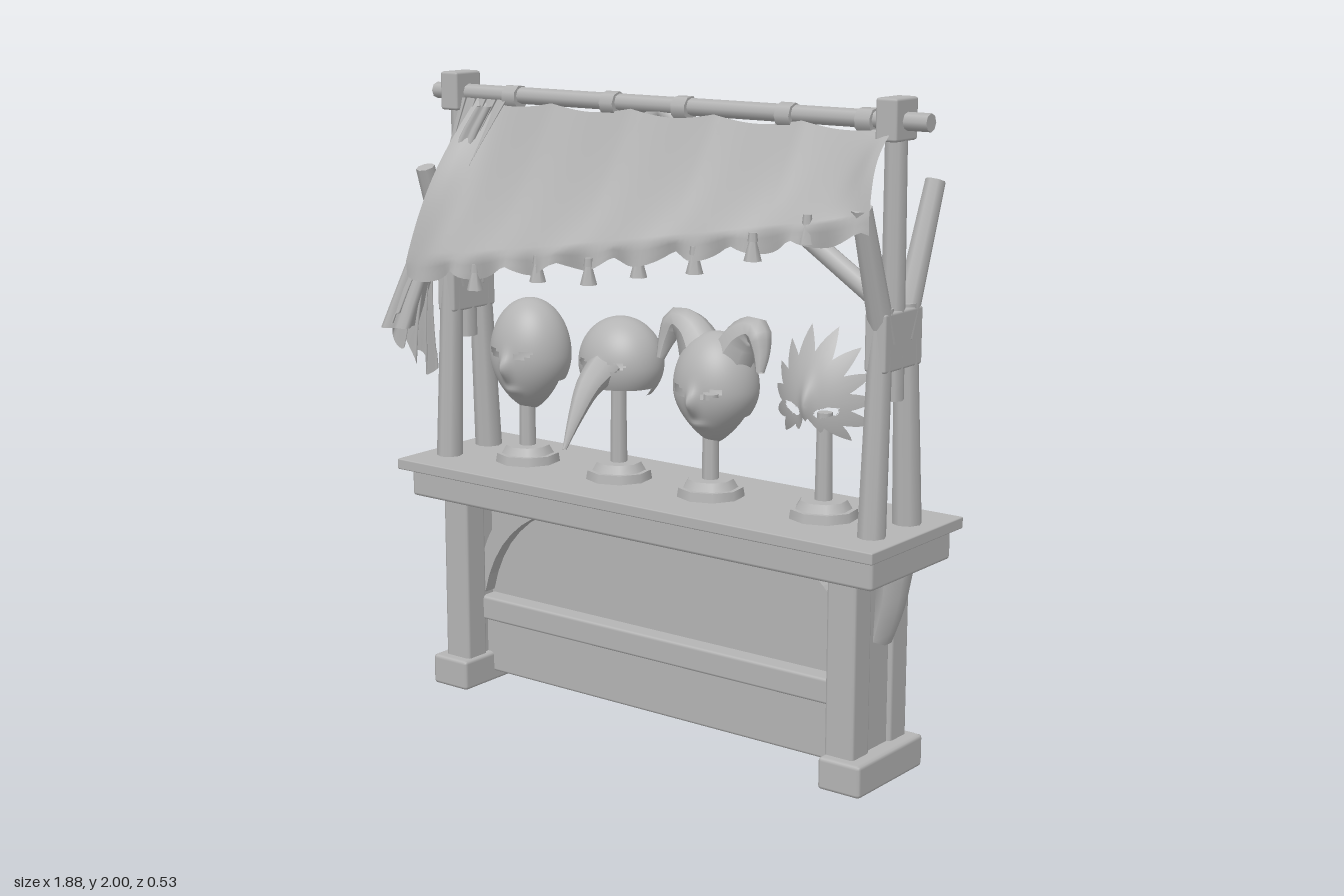
import * as THREE from 'three';
import { mergeVertices } from 'three/addons/utils/BufferGeometryUtils.js';
import { RoundedBoxGeometry } from 'three/addons/geometries/RoundedBoxGeometry.js';

const grey = new THREE.MeshStandardMaterial({ color: 0xb4b4b4, side: THREE.DoubleSide });
grey.name = 'plain grey';

const lerp = THREE.MathUtils.lerp;

function mesh(parent, name, geometry) {
  const m = new THREE.Mesh(geometry, grey);
  m.name = name;
  parent.add(m);
  return m;
}

// Slightly chamfered timber block
function block(parent, name, w, h, d, x, y, z) {
  const r = Math.min(w, h, d) * 0.12;
  const m = mesh(parent, name, new RoundedBoxGeometry(w, h, d, 1, r));
  m.position.set(x, y, z);
  return m;
}

// Straight round beam between two points
function beam(parent, name, a, b, ra, rb = ra, sides = 8) {
  const p = new THREE.Vector3(...a), q = new THREE.Vector3(...b);
  const m = mesh(parent, name, new THREE.CylinderGeometry(rb, ra, p.distanceTo(q), sides));
  m.position.copy(p).lerp(q, 0.5);
  m.quaternion.setFromUnitVectors(new THREE.Vector3(0, 1, 0), q.sub(p).normalize());
  return m;
}

// Curved tapering limb
function limb(parent, name, points, ra, rb, steps = 12, sides = 8) {
  const curve = new THREE.CatmullRomCurve3(points.map(p => new THREE.Vector3(...p)));
  const g = new THREE.TubeGeometry(curve, steps, 1, sides);
  const pos = g.attributes.position, v = new THREE.Vector3();
  for (let i = 0; i < pos.count; i++) {
    const t = Math.floor(i / (sides + 1)) / steps;
    const c = curve.getPointAt(t);
    v.fromBufferAttribute(pos, i).sub(c).multiplyScalar(lerp(ra, rb, t)).add(c);
    pos.setXYZ(i, v.x, v.y, v.z);
  }
  g.computeVertexNormals();
  return mesh(parent, name, g);
}

// Surface swept by a rule over a grid; cells refused by keep() become holes
function sheet(parent, name, rule, nu, nv, keep = () => true) {
  const pos = [], index = [];
  for (let j = 0; j <= nv; j++)
    for (let i = 0; i <= nu; i++) pos.push(...rule(i / nu, j / nv));
  for (let j = 0; j < nv; j++)
    for (let i = 0; i < nu; i++) {
      const [x, y, z] = rule((i + 0.5) / nu, (j + 0.5) / nv);
      if (!keep(x, y, z)) continue;
      const a = j * (nu + 1) + i, b = a + nu + 1;
      index.push(a, b, a + 1, b, b + 1, a + 1);
    }
  let g = new THREE.BufferGeometry();
  g.setAttribute('position', new THREE.Float32BufferAttribute(pos, 3));
  g.setIndex(index);
  g = mergeVertices(g, 1e-4);
  g.computeVertexNormals();
  return mesh(parent, name, g);
}

// Almond eye openings, slanting up and outwards
function inEye(dx, dy, w, h) {
  const ex = Math.abs(dx) - 0.058;
  return (ex / w) ** 2 + ((dy - ex * 0.25) / h) ** 2 < 1;
}

// Hollow head-shaped mask: rounded crown, tapering chin, open lower back
function headMask(parent, name, { x, y, rx, ry, taper, eyeY, frontCut = -9, backCut }) {
  const zc = -0.045, rz = 0.122;
  const rule = (u, v) => {
    const a = (u - 0.5) * 2 * Math.PI, b = v * Math.PI;
    const dy = Math.cos(b), s = Math.sin(b);
    const k = dy < 0 ? 1 - taper * dy * dy : 1;
    const dx = s * Math.sin(a) * k, dz = s * Math.cos(a) * (0.6 + 0.4 * k);
    const bump = dz > 0 ? 0.03 * Math.exp(-((dx / 0.13) ** 2) - ((dy + 0.18) / 0.22) ** 2) : 0;
    const lips = dz > 0 ? 0.012 * Math.exp(-((dx / 0.2) ** 2) - ((dy + 0.6) / 0.08) ** 2) : 0;
    return [x + dx * rx, y + dy * ry, zc + dz * rz + bump + lips];
  };
  sheet(parent, name, rule, 88, 64, (px, py, pz) =>
    !(pz > 0 && inEye(px - x, py - eyeY, 0.032, 0.012)) && py > (pz > zc ? frontCut : backCut));
}

// Flat curved brace in the corner under the counter
function archBrace(parent, x, dir) {
  const s = new THREE.Shape();
  s.moveTo(x, 0.31);
  s.quadraticCurveTo(x + dir * 0.06, 0.57, x + dir * 0.34, 0.645);
  s.lineTo(x + dir * 0.2, 0.645);
  s.quadraticCurveTo(x + dir * 0.05, 0.6, x, 0.46);
  const g = new THREE.ExtrudeGeometry(s, { depth: 0.12, bevelEnabled: false, curveSegments: 8 });
  mesh(parent, 'archBrace', g).position.z = -0.09;
}

function buildCounter(root) {
  const g = new THREE.Group();
  g.name = 'counter';
  root.add(g);
  block(g, 'counterTop', 1.81, 0.035, 0.495, 0.02, 0.75, -0.027);
  block(g, 'counterApron', 1.76, 0.095, 0.43, 0.02, 0.688, -0.035);
  block(g, 'backBoard', 1.42, 0.36, 0.03, 0.015, 0.47, -0.03);
  block(g, 'lowerBoard', 1.44, 0.19, 0.08, 0.015, 0.13, -0.028);
  block(g, 'shelfRail', 1.42, 0.08, 0.14, 0.015, 0.26, -0.025);
  for (const s of [-1, 1]) {
    const x = 0.015 + s * 0.745;
    block(g, 'foot', 0.145, 0.1, 0.35, 0.02 + s * 0.76, 0.052, -0.025);
    for (const z of [0.075, -0.128]) block(g, 'leg', 0.1, 0.57, 0.09, x, 0.37, z);
    block(g, 'legCore', 0.075, 0.57, 0.12, x, 0.37, -0.028);
    // Outer bracket under the overhang
    limb(g, 'outerBracket', [[x + s * 0.04, 0.43, -0.03], [x + s * 0.07, 0.54, -0.03], [x + s * 0.085, 0.66, -0.03]], 0.035, 0.055, 6, 6);
    archBrace(g, x - s * 0.045, -s);
  }
}

function buildFrame(root) {
  const g = new THREE.Group();
  g.name = 'frame';
  root.add(g);
  beam(g, 'ridgePole', [-0.89, 1.935, -0.01], [0.94, 1.935, -0.01], 0.026);
  for (const x of [-0.56, -0.17, 0.1, 0.47, 0.74]) {
    const ring = beam(g, 'poleTie', [x - 0.025, 1.93, -0.008], [x + 0.025, 1.93, -0.008], 0.037);
    ring.rotateY(x * 5);
  }
  for (const s of [-1, 1]) {
    const x = 0.02 + s * 0.81;
    beam(g, 'tallPost', [x, 1.15, -0.015], [x, 1.97, -0.01], 0.036, 0.032);
    block(g, 'postCap', 0.07, 0.12, 0.115, x, 1.94, -0.01);
    block(g, 'postJoint', 0.07, 0.17, 0.2, x, 1.325, -0.02);
    beam(g, 'frontLeg', [x, 0.76, 0.075], [x, 1.42, 0.045], 0.042, 0.034);
    beam(g, 'rearLeg', [x, 0.76, -0.115], [x, 1.42, -0.08], 0.044, 0.034);
    beam(g, 'frontFork', [x, 1.32, 0.03], [x, 1.71, 0.16], 0.038, 0.03);
    beam(g, 'rearFork', [x, 1.32, -0.06], [x, 1.75, -0.225], 0.038, 0.03);
    beam(g, 'ridgeBrace', [x, 1.39, -0.03], [0.01, 1.92, -0.02], 0.032, 0.028);
  }
}

function buildAwning(root) {
  const g = new THREE.Group();
  g.name = 'awning';
  root.add(g);
  const edgeY = u => lerp(1.42, 1.69, u ** 1.1);
  const edgeZ = u => lerp(0.23, 0.195, u);
  // Sloping cloth, lifted by the forks at its ends, with a hanging scalloped hem
  sheet(g, 'awningCloth', (u, v) => {
    const t = Math.min(v / 0.86, 1), hem = Math.max(0, (v - 0.86) / 0.14);
    const sag = Math.abs(Math.sin(u * Math.PI * 5)), bow = Math.sin(t * Math.PI);
    const lift = Math.exp(-((u / 0.05) ** 2)) + Math.exp(-(((1 - u) / 0.05) ** 2));
    const fold = 0.012 * Math.sin(u * 34 + v * 3) * t;
    return [
      lerp(lerp(-0.7, 0.84, u), lerp(-0.81, 0.87, u), t),
      lerp(1.92 - 0.018 * sag, edgeY(u), t) + (0.05 * lift - 0.03) * bow
        - hem * (0.035 + 0.035 * Math.abs(Math.sin(u * Math.PI * 8 + 0.4))),
      lerp(0.015, edgeZ(u), t) + 0.03 * lift * bow + fold + hem * 0.012 * Math.sin(u * 60),
    ];
  }, 80, 22);
  // Gathered cloth slung over the end of the stall
  sheet(g, 'gatheredDrape', (u, v) => {
    const pleat = Math.sin(u * Math.PI * 9) * (0.01 + 0.022 * v);
    const bulge = Math.sin(v * Math.PI);
    const hem = v > 0.9 ? 0.03 * Math.sin(u * 21) : 0;
    return [
      lerp(lerp(-0.57, -0.76, u), lerp(-0.9, -0.84, u), v) - 0.03 * bulge + pleat,
      lerp(1.92, lerp(1.2, 1.02, u), v) - 0.06 * bulge * (1 - u) + hem,
      lerp(0.02, lerp(0.235, 0.07, u), v) + 0.045 * bulge + pleat * 0.6,
    ];
  }, 54, 18);
  // Thick rolled fold at the front of the drape
  sheet(g, 'drapeFold', (u, v) => {
    const a = u * Math.PI * 2, r = lerp(0.025, 0.05, v) * (1 + 0.25 * Math.sin(a * 4));
    return [lerp(-0.64, -0.88, v ** 0.8) + r * Math.cos(a), lerp(1.9, 1.2, v), lerp(0.04, 0.2, v) + r * Math.sin(a)];
  }, 24, 10);
  // Tassels along the hem
  for (const [x, y] of [[-0.53, 1.39], [-0.28, 1.44], [-0.085, 1.45], [0.1, 1.49], [0.3, 1.52], [0.5, 1.575], [0.68, 1.64]]) {
    const z = edgeZ((x + 0.81) / 1.68);
    beam(g, 'tassel', [x, y - 0.035, z], [x, y + 0.025, z], 0.026, 0.01, 6);
    beam(g, 'tasselKnot', [x, y + 0.02, z], [x, y + 0.045, z], 0.015, 0.012, 6);
  }
}

function buildMasks(root) {
  const g = new THREE.Group();
  g.name = 'masksOnStands';
  root.add(g);
  for (const [x, top] of [[-0.54, 1.08], [-0.165, 1.1], [0.19, 1.08], [0.6, 1.08]]) {
    beam(g, 'standBase', [x, 0.765, -0.025], [x, 0.795, -0.025], 0.105, 0.1, 9);
    beam(g, 'standStep', [x, 0.795, -0.025], [x, 0.82, -0.025], 0.085, 0.07, 9);
    beam(g, 'standPole', [x, 0.8, -0.025], [x, top, -0.025], 0.027, 0.023);
  }
  headMask(g, 'fullFaceMask', { x: -0.54, y: 1.115, rx: 0.136, ry: 0.18, taper: 0.35, eyeY: 1.13, backCut: 1.04 });
  // Beaked half mask
  headMask(g, 'beakedMask', { x: -0.17, y: 1.13, rx: 0.14, ry: 0.145, taper: 0.2, eyeY: 1.135, frontCut: 1.06, backCut: 1.04 });
  limb(g, 'beak', [[-0.17, 1.13, 0.035], [-0.167, 1.08, 0.12], [-0.16, 1.0, 0.19], [-0.155, 0.91, 0.25]], 0.055, 0.006);
  // Horned hood mask
  headMask(g, 'hornedMask', { x: 0.195, y: 1.1, rx: 0.135, ry: 0.17, taper: 0.5, eyeY: 1.1, backCut: 1.02 });
  for (const s of [-1, 1])
    limb(g, 'hoodHorn', [[0.195 + s * 0.04, 1.17, -0.05], [0.195 + s * 0.1, 1.265, -0.05], [0.195 + s * 0.148, 1.285, -0.045], [0.195 + s * 0.175, 1.23, -0.03], [0.195 + s * 0.185, 1.17, -0.01]], 0.08, 0.013, 16);
  // Leaf mask with a pointed outline, curved around the face
  sheet(g, 'leafMask', (u, v) => {
    const a = u * Math.PI * 2, up = Math.sin(a);
    const spike = 2 * Math.abs(((u - 0.25) * 15 + 15.5) % 1 - 0.5);
    const reach = up > 0 ? 0.18 + 0.045 * up ** 3 : 0.18 - 0.13 * up ** 4;
    const r = v * reach * lerp(1 - 0.34 * (1 - spike), 1, 1 - v);
    const x = r * Math.cos(a), y = r * up;
    return [0.6 + x, 1.12 + y, 0.07 - 3.4 * x * x - 1.8 * y * y + 0.02 * Math.exp(-((x / 0.02) ** 2) - (y / 0.06) ** 2)];
  }, 120, 24, (x, y) => !inEye(x - 0.6, y - 1.1, 0.034, 0.015));
}

export function createModel() {
  const root = new THREE.Group();
  root.name = 'maskStall';
  buildCounter(root);
  buildFrame(root);
  buildAwning(root);
  buildMasks(root);
  return root;
}
